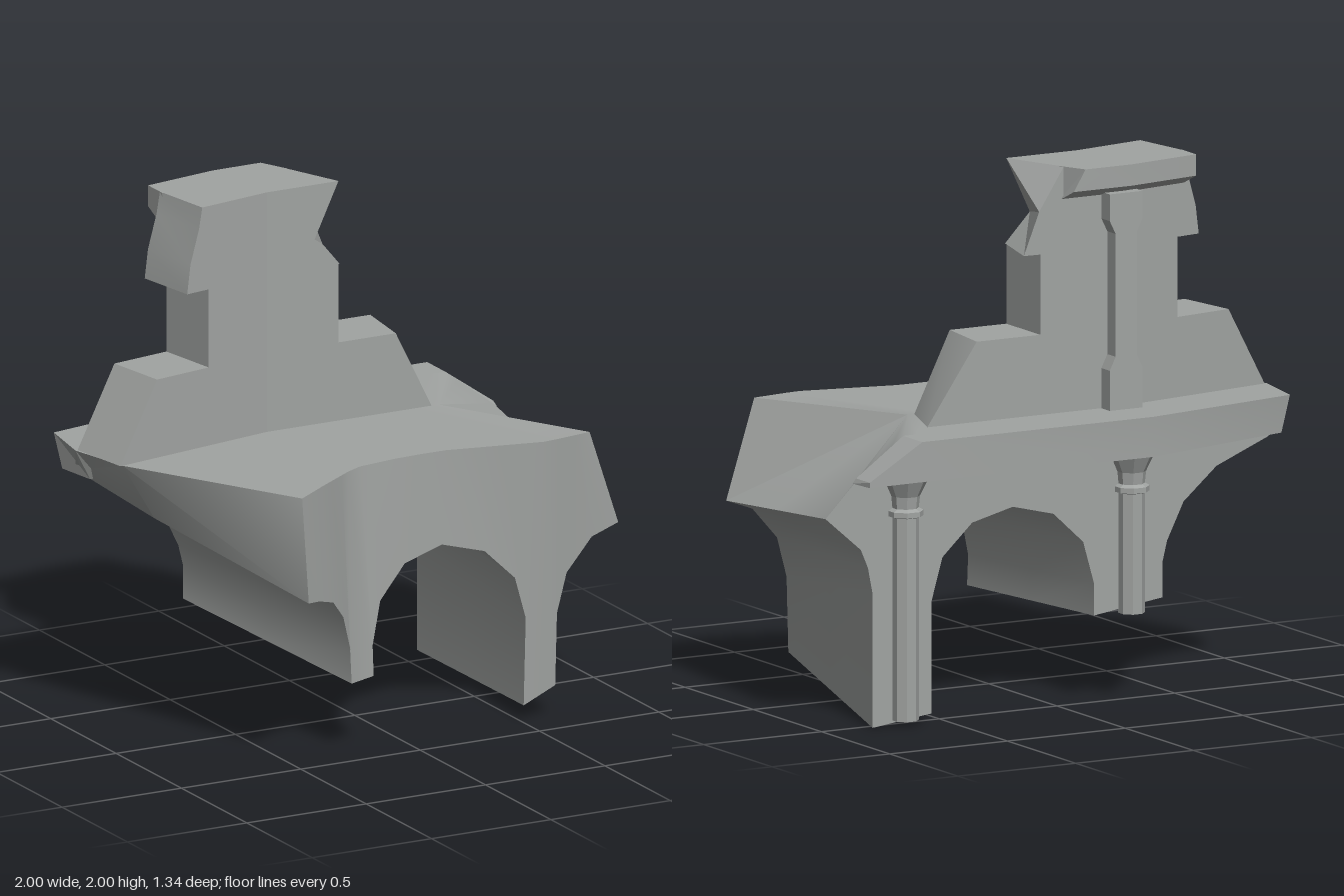
import * as THREE from 'three';
import { toCreasedNormals } from 'three/addons/utils/BufferGeometryUtils.js';

const { lerp } = THREE.MathUtils;
const stone = new THREE.MeshStandardMaterial({ color: 0xa1a4a2 });
const top = 1.08;

function addMesh(parent, name, geometry) {
  const mesh = new THREE.Mesh(geometry, stone);
  mesh.name = name;
  parent.add(mesh);
  return mesh;
}

function fromTriangles(points, index, crease) {
  const g = new THREE.BufferGeometry();
  g.setAttribute('position', new THREE.Float32BufferAttribute(points.flat(), 3));
  g.setIndex(index);
  return toCreasedNormals(g, crease);
}

// Skin closed sections running along +x, each counter-clockwise seen from +x
function loft(sections, crease = 0.3) {
  const n = sections[0].length, last = (sections.length - 1) * n, index = [];
  for (let i = 0; i < sections.length - 1; i++) {
    for (let j = 0; j < n; j++) {
      const a = i * n + j, b = i * n + (j + 1) % n;
      index.push(a, b, b + n, a, b + n, a + n);
    }
  }
  for (let j = 0; j < n - 2; j++) {
    index.push(n - 1, j + 1, j);
    index.push(last + n - 1, last + j, last + j + 1);
  }
  return fromTriangles(sections.flat(), index, crease);
}

// Join a front outline to a matching back outline, both counter-clockwise from +z
function slabBetween(front, back) {
  const n = front.length, index = [];
  const faces = (outline) => THREE.ShapeUtils.triangulateShape(
    outline.map(([x, y]) => new THREE.Vector2(x, y)), []);
  faces(front).forEach(([a, b, c]) => index.push(a, b, c));
  faces(back).forEach(([a, b, c]) => index.push(n + a, n + c, n + b));
  for (let k = 0; k < n; k++) {
    const m = (k + 1) % n;
    index.push(k, n + k, m, m, n + k, n + m);
  }
  return fromTriangles([...front, ...back], index, 0.3);
}

// Straight-line interpolation through [x, value] points
const planLine = (points) => (x) => {
  const k = Math.max(1, points.findIndex(([px]) => px >= x));
  const [[x0, z0], [x1, z1]] = [points[k - 1], points[k]];
  return lerp(z0, z1, (x - x0) / (x1 - x0));
};
// Front of the base: plan line of its top edge, and outward lean below it
const topEdgeZ = planLine([[-0.56, 0.62], [-0.42, 0.52], [-0.2, 0.37], [0, 0.34],
  [0.18, 0.335], [0.57, 0.42], [0.77, 0.39], [0.9, 0.39]]);
const lean = planLine([[-0.56, 0.13], [-0.26, 0.05], [-0.15, 0.07], [0.18, 0.01],
  [0.46, -0.045], [0.9, -0.05]]);
const baseFront = (x, y) => [x, y, topEdgeZ(x) + lean(x) * (top - y)];

// Wall faces bend forward left of the middle
const frontZ = (x) => -0.18 + Math.max(0, -0.27 - x) * 0.18;
const backZ = (x) => -0.43 + Math.max(0, -0.3 - x) * 0.17;

// Vaulted base, each rib: front top x, front underside x y, back underside x y, back top x
function vaultedBase() {
  const leftPier = [
    [-0.56, -0.56, 0.69, -0.88, 0.93, -1],
    [-0.5, -0.48, 0.67, -0.66, 0.84, -0.68],
    [-0.42, -0.38, 0.63, -0.52, 0.72, -0.53],
    [-0.36, -0.31, 0.55, -0.45, 0.58, -0.46],
    [-0.29, -0.26, 0.4, -0.43, 0.5, -0.4],
    [-0.25, -0.26, 0.28, -0.43, 0.37, -0.36],
    [-0.18, -0.15, 0.285, -0.14, 0.33, -0.2],
  ];
  const arch = Array.from({ length: 7 }, (_, i) => {
    const c = Math.cos(Math.PI * i / 6), s = Math.sin(Math.PI * i / 6);
    return [lerp(-0.13, 0.52, i / 6), 0.18 - 0.33 * c, 0.4 + 0.32 * s,
      0.205 - 0.345 * c, 0.45 + 0.32 * s, lerp(-0.16, 0.56, i / 6)];
  });
  const rightPier = [
    [0.56, 0.51, 0.06, 0.55, 0.03, 0.61],
    [0.62, 0.64, 0.12, 0.8, 0, 0.67],
    [0.68, 0.64, 0.4, 0.8, 0.5, 0.72],
    [0.71, 0.68, 0.55, 0.82, 0.6, 0.77],
    [0.74, 0.79, 0.67, 0.85, 0.67, 0.82],
    [0.77, 0.9, 0.71, 1, 0.8, 0.87],
  ];
  return loft([...leftPier, ...arch, ...rightPier].map(([topX, x, y, bx, by, backX], i) => {
    const midX = lerp(-0.94, 0.45, Math.min(1, i / 15));
    const under = baseFront(x, y);
    return [
      baseFront(topX, top),
      under,
      i ? [(x + bx) / 2, (y + by) / 2, (under[2] - 0.53) / 2] : [-0.84, 0.88, 0],
      [bx, by, -0.53],
      [backX, top - 0.75 * Math.max(0, backX - 0.67), i ? -0.53 : -0.31],
      [midX, top, frontZ(midX)],
    ];
  }), 0.75);
}

export function createModel() {
  const model = new THREE.Group();
  model.name = 'ruinedArcade';
  addMesh(model, 'vaultedBase', vaultedBase());

  // Ledge overhanging the back columns, its right end broken down
  const ledgeSection = (x, z) => [[x, top, -0.53], [x, 0.93, -0.5], [x, 0.93, z], [x, top, z]];
  addMesh(model, 'backLedge', loft([
    [[-1, top, -0.31], [-0.89, 0.93, -0.4], [-0.93, 0.94, -0.54], [-0.96, top, -0.55]],
    ledgeSection(-0.31, -0.67),
    ledgeSection(0.67, -0.67),
    [[0.87, 0.94, -0.53], [0.88, 0.92, -0.52], [0.87, 0.92, -0.63], [0.87, 0.94, -0.63]],
  ]));

  // Upper wall, two stepped halves meeting at the bend
  const addWall = (name, front, back) => addMesh(model, name, slabBetween(
    front.map(([x, y]) => [x, y, frontZ(x)]),
    back.map(([x, y]) => [x, y, backZ(x)])));
  const left = [[-0.95, top], [-0.27, top], [-0.27, 2], [-0.57, 2], [-0.585, 1.92],
    [-0.625, 1.79], [-0.64, 1.68], [-0.54, 1.68], [-0.54, 1.38], [-0.78, 1.38]];
  addWall('leftWall', left, left.map(([x, y]) => [x - 0.04, y]));
  addWall('rightWall',
    [[-0.27, top], [0.42, top], [0.27, 1.38], [0.03, 1.38], [0.03, 1.68],
      [0.035, 1.681], [-0.07, 1.79], [0.03, 2], [-0.27, 2]],
    [[-0.31, top], [0.51, top], [0.3, 1.38], [0.03, 1.38], [0.03, 1.68],
      [0.1, 1.681], [0.035, 1.84], [-0.07, 2], [-0.31, 2]]);

  // Cornice along the back of the wall top: inner x, outer bottom x, outer top x
  const stations = [[-0.61, -0.61, -0.61], [-0.31, -0.31, -0.31], [-0.06, -0.06, -0.11]];
  addMesh(model, 'cornice', loft(stations.map(([x, lowX, highX]) => {
    const z = backZ(x);
    return [[x, 2, z + 0.02], [x, 1.87, z + 0.02], [lowX, 1.92, z - 0.09], [highX, 2, z - 0.09]];
  })));

  // Pilaster with wider foot and head
  const half = [[0.07, top], [0.07, 1.23], [0.045, 1.28], [0.045, 1.74], [0.07, 1.79], [0.07, 1.89]];
  const outline = [...half, ...half.map(([x, y]) => [-x, y]).reverse()];
  const pilaster = addMesh(model, 'pilaster', new THREE.ExtrudeGeometry(
    new THREE.Shape(outline.map(([x, y]) => new THREE.Vector2(x, y))),
    { depth: 0.09, bevelEnabled: false }));
  pilaster.position.set(-0.3, 0, -0.49);

  // Engaged eight-sided columns on the pier backs
  [[0.67, 0.02], [-0.29, 0.33]].forEach(([x, bottom]) => {
    const profile = [[0, bottom], [0.05, bottom], [0.05, 0.78], [0.067, 0.785], [0.067, 0.805],
      [0.05, 0.815], [0.055, 0.86], [0.085, 0.92], [0.085, 0.94], [0, 0.94]];
    const lathe = new THREE.LatheGeometry(
      profile.map(([r, y]) => new THREE.Vector2(r, y)), 8, Math.PI / 8);
    const column = addMesh(model, 'column', toCreasedNormals(lathe, 0.3));
    column.position.set(x, 0, -0.545);
  });

  return model;
}
